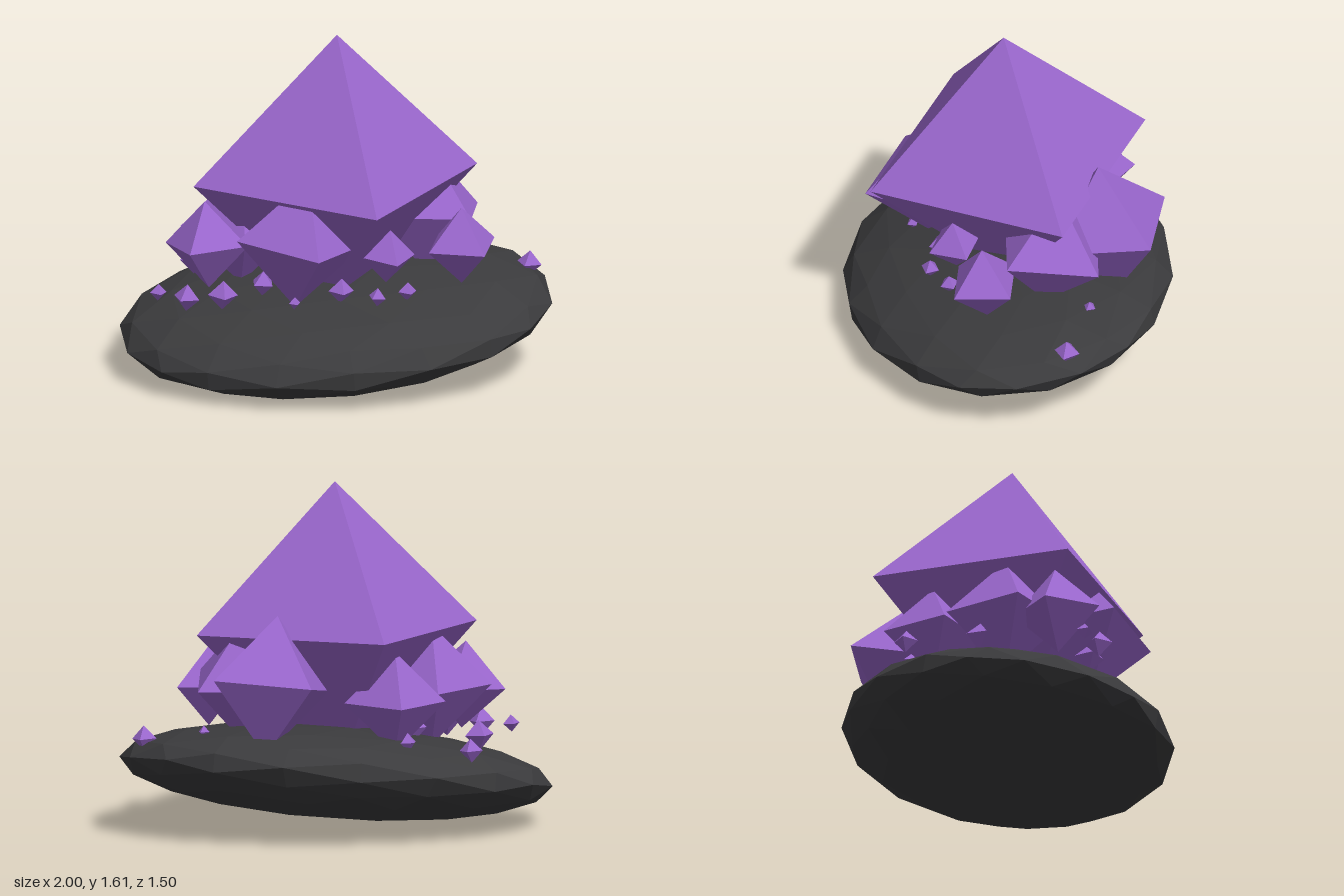
import * as THREE from 'three';

export function createModel() {
  const model = new THREE.Group();
  model.name = 'crystalCluster';

  const rock = new THREE.MeshStandardMaterial({ color: 0x3b3b3d, flatShading: true });
  rock.name = 'dark rock';
  const violet = new THREE.MeshStandardMaterial({ color: 0x9966cc, flatShading: true });
  violet.name = 'violet crystal';

  // Flattened, tilted boulder that carries the crystals
  const base = new THREE.Mesh(new THREE.IcosahedronGeometry(1, 2), rock);
  base.name = 'rockBase';
  base.scale.set(1.01, 0.22, 0.765);
  base.rotation.set(0.145, 0.15, 0.07);
  base.position.y = 0.25;
  model.add(base);

  // Octahedral crystal: centre, radius, bearing of one equator corner (degrees
  // from +x towards +z) and the lean of its upper tip in x and z
  const octahedron = new THREE.OctahedronGeometry(1);
  const Y = new THREE.Vector3(0, 1, 0);
  function addCrystal(parent, name, x, y, z, r, bearing, leanX = 0, leanZ = 0) {
    const mesh = new THREE.Mesh(octahedron, violet);
    mesh.name = name;
    mesh.position.set(x, y, z);
    mesh.scale.setScalar(r);
    const up = new THREE.Vector3(leanX, 1, leanZ).normalize();
    const yaw = new THREE.Quaternion().setFromAxisAngle(Y, -THREE.MathUtils.degToRad(bearing));
    mesh.quaternion.setFromUnitVectors(Y, up).multiply(yaw);
    parent.add(mesh);
  }

  addCrystal(model, 'mainCrystal', -0.003, 0.92, 0, 0.682, 71.5, 0.012, 0.03);

  // Medium crystals ringed around the main one
  const ring = new THREE.Group();
  ring.name = 'mediumCrystals';
  model.add(ring);
  [
    [0.30, 0.72, -0.45, 0.325, -34, -0.09, 0.15],
    [-0.145, 0.70, 0.36, 0.31, 73, 0.1, 0],
    [-0.59, 0.63, 0.17, 0.205, 200, -0.05, -0.04],
    [-0.44, 0.66, -0.05, 0.28, 174, 0, 0],
    [-0.27, 0.63, -0.37, 0.235, 173, 0, 0],
    [0.585, 0.63, 0.14, 0.185, 53, 0, 0.07],
    [0.42, 0.70, -0.18, 0.3, -43, 0, -0.1],
    [0.25, 0.61, 0.26, 0.13, 68, 0.08, 0.08],
  ].forEach((c, i) => addCrystal(ring, `mediumCrystal${i + 1}`, ...c));

  // Small crystals scattered over the rock
  const scatter = new THREE.Group();
  scatter.name = 'smallCrystals';
  model.add(scatter);
  [
    [-0.81, 0.43, 0.28, 0.04, 70],
    [-0.675, 0.43, 0.36, 0.065, 25],
    [-0.51, 0.435, 0.33, 0.07, 80],
    [-0.33, 0.455, 0.2, 0.06, 40],
    [-0.175, 0.43, 0.43, 0.03, 60],
    [0.035, 0.455, 0.31, 0.06, 75],
    [0.205, 0.445, 0.37, 0.045, 30],
    [0.34, 0.45, 0.29, 0.045, 65],
    [0.885, 0.44, -0.225, 0.06, 20],
    [-0.62, 0.43, -0.53, 0.056, 20],
    [-0.66, 0.45, -0.19, 0.07, 70],
    [-0.33, 0.46, -0.48, 0.045, 50],
    [-0.36, 0.48, -0.16, 0.06, 15],
    [0.61, 0.49, -0.345, 0.03, 35],
  ].forEach((c, i) => addCrystal(scatter, `smallCrystal${i + 1}`, ...c, 0.06, 0.04));

  return model;
}
